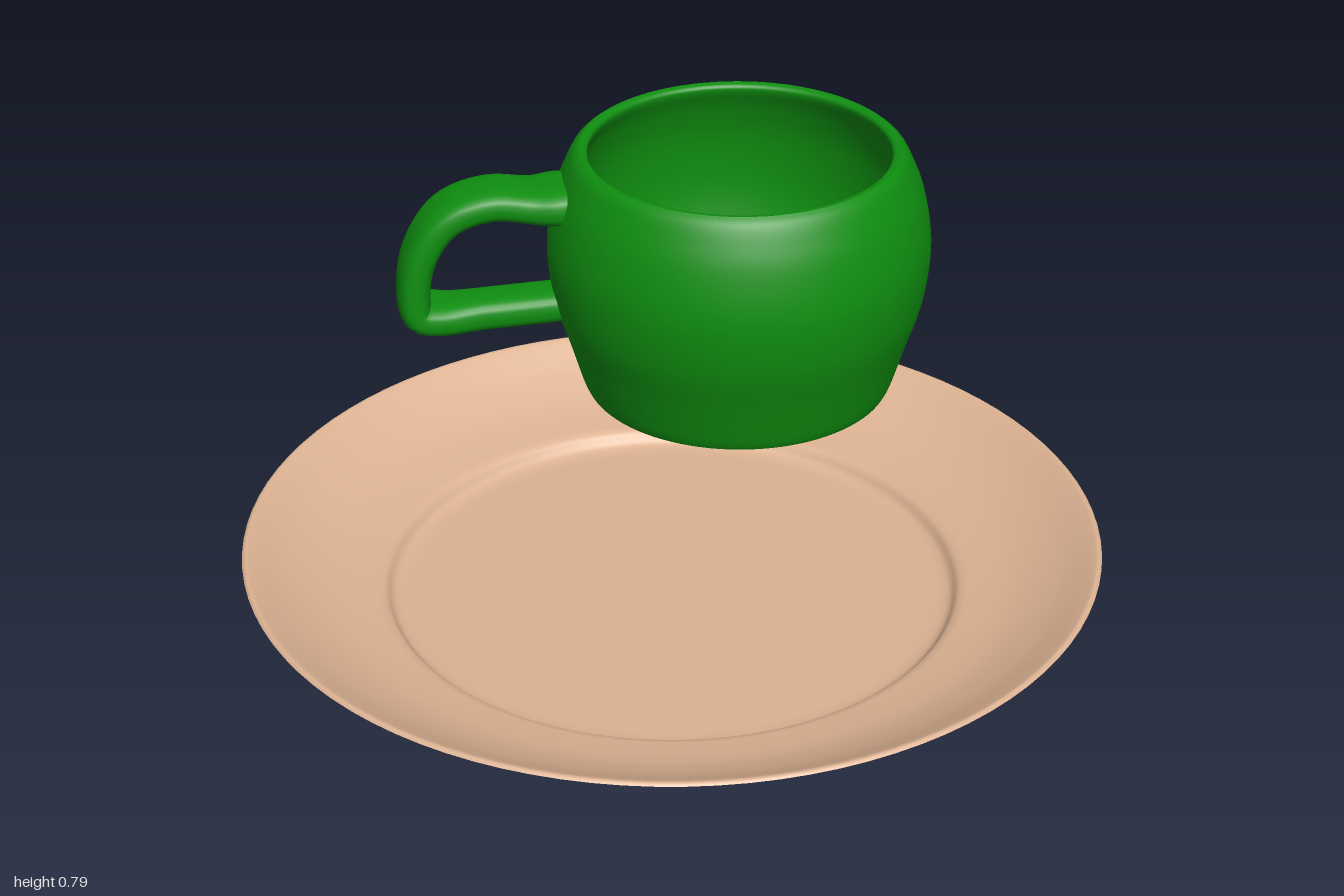
import * as THREE from 'three';

const tan = new THREE.MeshStandardMaterial({ color: 0xdcb292 });
tan.name = 'tan glaze';
const green = new THREE.MeshStandardMaterial({ color: 0x0f8e10 });
green.name = 'green glaze';

const v2 = ([x, y]) => new THREE.Vector2(x, y);

// Smooth curve through a few [radius, height] points
const smooth = (pts, n = 24) => new THREE.SplineCurve(pts.map(v2)).getPoints(n);

function lathe(name, points, material, segments = 96) {
  const mesh = new THREE.Mesh(new THREE.LatheGeometry(points, segments), material);
  mesh.name = name;
  return mesh;
}

// Sweeps a rounded-rectangle section along a path lying in the x-y plane.
// size(t) gives [half thickness, half width] along the path.
function sweep(path, size, steps = 64, sides = 28) {
  const pos = [], index = [];
  const power = (v) => Math.sign(v) * Math.abs(v) ** 0.7;
  for (let i = 0; i <= steps; i++) {
    const t = i / steps, p = path.getPointAt(t), d = path.getTangentAt(t);
    const [thick, wide] = size(t);
    for (let j = 0; j < sides; j++) {
      const a = (j / sides) * Math.PI * 2;
      const u = power(Math.cos(a)) * thick, w = power(Math.sin(a)) * wide;
      pos.push(p.x - d.y * u, p.y + d.x * u, w);
      if (i < steps) {
        const k = (j + 1) % sides, A = i * sides + j, B = i * sides + k;
        index.push(A, B, A + sides, B, B + sides, A + sides);
      }
    }
  }
  // End caps
  for (const end of [0, steps]) {
    const p = path.getPointAt(end / steps), c = pos.length / 3;
    pos.push(p.x, p.y, 0);
    for (let j = 0; j < sides; j++) {
      const A = end * sides + j, B = end * sides + ((j + 1) % sides);
      if (end) index.push(c, A, B); else index.push(c, B, A);
    }
  }
  const geo = new THREE.BufferGeometry();
  geo.setAttribute('position', new THREE.Float32BufferAttribute(pos, 3));
  geo.setIndex(index);
  geo.computeVertexNormals();
  return geo;
}

export function createModel() {
  const model = new THREE.Group();
  model.name = 'cup and saucer';

  // Saucer: foot, flared underside, rim, bowl and sunken well
  const saucer = new THREE.Group();
  saucer.name = 'saucer';
  saucer.position.set(-0.04, 0, 0.012);
  saucer.add(
    lathe('saucerFoot', [[0, 0], [0.6, 0.01], [0.632, 0.014], [0.64, 0.022], [0.64, 0.06]].map(v2), tan),
    lathe('saucerUnderside', smooth([[0.63, 0.058], [0.7, 0.067], [0.8, 0.098], [0.89, 0.147], [0.96, 0.19]]), tan),
    lathe('saucerTop', [
      ...smooth([[0.96, 0.19], [0.952, 0.195], [0.935, 0.188], [0.86, 0.145], [0.77, 0.108], [0.68, 0.089]]),
      ...smooth([[0.665, 0.087], [0.645, 0.079], [0.63, 0.06], [0.61, 0.052], [0.58, 0.05]], 14),
      v2([0, 0.05]),
    ], tan),
  );
  model.add(saucer);

  // Cup, turned so its handle points to the back right
  const cup = new THREE.Group();
  cup.name = 'cup';
  cup.position.set(0.537, 0, -0.522);
  cup.rotation.y = Math.PI - 0.48;
  cup.add(
    lathe('cupOutside', smooth([
      [0.372, 0.172], [0.384, 0.2], [0.414, 0.3], [0.445, 0.4], [0.46, 0.5],
      [0.459, 0.58], [0.442, 0.67], [0.42, 0.73], [0.4, 0.77], [0.382, 0.786],
    ], 40), green),
    lathe('cupInside', [
      ...smooth([
        [0.382, 0.786], [0.366, 0.782], [0.363, 0.765], [0.388, 0.71], [0.412, 0.62],
        [0.418, 0.5], [0.405, 0.4], [0.378, 0.3], [0.34, 0.245], [0.28, 0.222],
      ], 44),
      v2([0, 0.215]),
    ], green),
    lathe('cupBase', [[0, 0.205], [0.325, 0.2], [0.34, 0.176], [0.348, 0.172], [0.372, 0.172]].map(v2), green),
  );

  // Handle: broad strap curling out, down and back to the wall
  const path = new THREE.CatmullRomCurve3([
    [0.37, 0.685], [0.48, 0.678], [0.6, 0.69], [0.7, 0.655], [0.762, 0.57],
    [0.785, 0.475], [0.778, 0.41], [0.73, 0.395], [0.6, 0.4], [0.395, 0.41],
  ].map(([x, y]) => new THREE.Vector3(x, y, 0)), false, 'centripetal');
  const handle = new THREE.Mesh(sweep(path, (t) => {
    const root = Math.exp(-(((t - 0.07) / 0.05) ** 2));
    const lower = THREE.MathUtils.smoothstep(t, 0.6, 0.78);
    return [0.04 + 0.006 * root, 0.084 + 0.014 * root - 0.02 * lower];
  }), green);
  handle.name = 'handle';
  cup.add(handle);
  model.add(cup);

  return model;
}
